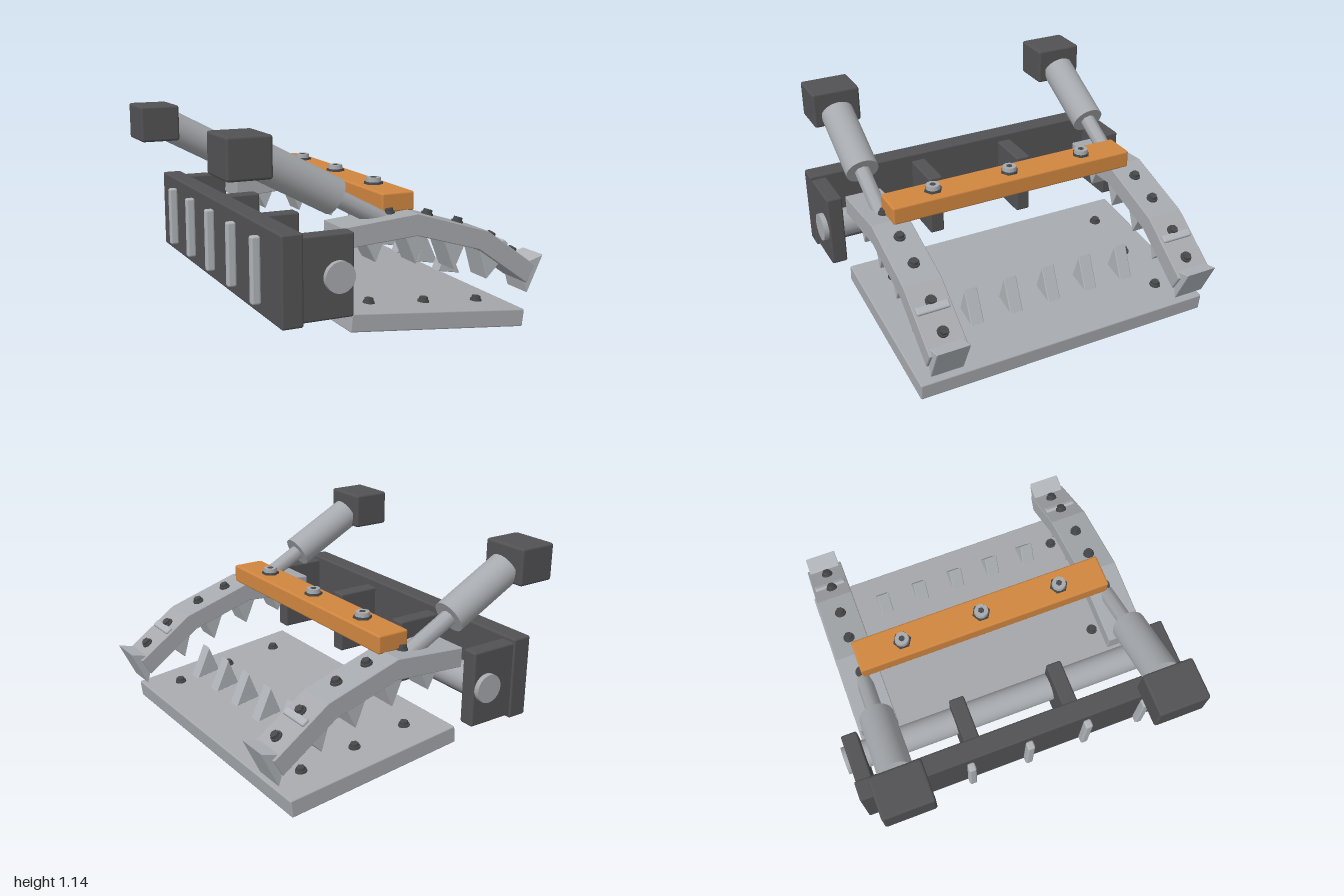
import * as THREE from 'three';
import { RoundedBoxGeometry } from 'three/addons/geometries/RoundedBoxGeometry.js';

const mat = (name, color, flatShading = false) => {
  const m = new THREE.MeshStandardMaterial({ color, flatShading });
  m.name = name;
  return m;
};

export function createModel() {
  const steel = mat('steel', 0xa6a9ad);
  const toothSteel = mat('tooth steel', 0xb0b4b8);
  const dark = mat('dark frame', 0x525254);
  const boltDark = mat('dark bolt', 0x46484a);
  const orange = mat('orange paint', 0xd08640);

  const model = new THREE.Group();
  const add = (name, geo, material, x = 0, y = 0, z = 0, rotZ = 0, parent = model) => {
    const mesh = new THREE.Mesh(geo, material);
    mesh.name = name;
    mesh.position.set(x, y, z);
    mesh.rotation.z = rotZ;
    parent.add(mesh);
    return mesh;
  };

  // Rounded box given by its limits on each axis
  const block = (name, material, [x0, x1], [y0, y1], [z0, z1], r = 0.012) =>
    add(name, new RoundedBoxGeometry(x1 - x0, y1 - y0, z1 - z0, 2, r), material,
      (x0 + x1) / 2, (y0 + y1) / 2, (z0 + z1) / 2);

  // Side outline in x and y, extruded evenly about z
  const prism = (name, points, width, material, z, bevel = 0.004) => {
    const shape = new THREE.Shape(points.map(p => new THREE.Vector2(...p)));
    const geo = new THREE.ExtrudeGeometry(shape, {
      depth: width - 2 * bevel, bevelEnabled: true, bevelSize: bevel,
      bevelOffset: -bevel, bevelThickness: bevel, bevelSegments: 1,
    });
    geo.translate(0, 0, -width / 2 + bevel);
    return add(name, geo, material, 0, 0, z);
  };

  // Cylinder between two points in the plane of a given z
  const rod = (name, a, b, r, sides, material, z) => {
    const dx = b[0] - a[0], dy = b[1] - a[1];
    return add(name, new THREE.CylinderGeometry(r, r, Math.hypot(dx, dy), sides), material,
      (a[0] + b[0]) / 2, (a[1] + b[1]) / 2, z, Math.atan2(dy, dx) - Math.PI / 2);
  };

  // Hex bolt head with a thin collar
  const collarGeo = new THREE.CylinderGeometry(0.031, 0.033, 0.014, 12);
  const headGeo = new THREE.CylinderGeometry(0.023, 0.027, 0.026, 6);
  const bolt = (name, x, y, z, rotZ, parent = model) => {
    const g = new THREE.Group();
    g.name = name;
    g.position.set(x, y, z);
    g.rotation.z = rotZ;
    add('boltCollar', collarGeo, boltDark, 0, 0.004, 0, 0, g);
    add('boltHead', headGeo, boltDark, 0, 0.015, 0, 0, g);
    parent.add(g);
  };

  // Tilted bottom plate with its bolts
  const plate = new THREE.Group();
  plate.name = 'bottomPlate';
  plate.position.set(0.248, 0.11, 0);
  plate.rotation.z = -0.11;
  model.add(plate);
  add('plateSlab', new RoundedBoxGeometry(1.06, 0.098, 1.76, 2, 0.008), steel, 0, 0, 0, 0, plate);
  for (const z of [-0.685, 0.685])
    for (const x of [-0.335, 0, 0.34]) bolt('plateBolt', x, 0.049, z, 0, plate);

  // Lower row of teeth
  for (let i = -2; i <= 2; i++)
    prism('lowerTooth', [[0.455, 0.26], [0.598, 0.234], [0.515, 0.414]], 0.075, toothSteel, i * 0.235);

  // Rear frame, hinge pipe and lugs
  block('rearBeam', dark, [-0.695, -0.58], [0.218, 0.683], [-0.98, 0.98]);
  for (const z of [-0.925, 0.925])
    block('endLug', dark, [-0.6, -0.308], [0.235, 0.662], [z - 0.046, z + 0.046]);
  for (const z of [-0.295, 0.295])
    block('middleLug', dark, [-0.6, -0.32], [0.262, 0.638], [z - 0.045, z + 0.045]);
  add('hingePipe', new THREE.CylinderGeometry(0.08, 0.08, 2, 40), steel, -0.395, 0.45, 0)
    .rotation.x = Math.PI / 2;
  for (let i = -2; i <= 2; i++)
    block('rearSlat', toothSteel, [-0.744, -0.694], [0.275, 0.625], [i * 0.348 - 0.022, i * 0.348 + 0.022]);

  // Outline of the bent jaw arm
  const jawOutline = [
    [-0.32, 0.545], [0.11, 0.573], [0.49, 0.46], [0.803, 0.24],
    [0.857, 0.335], [0.54, 0.557], [0.11, 0.69], [-0.32, 0.655],
  ];
  const upperTeeth = [
    [[-0.18, 0.57], [-0.06, 0.58], [-0.117, 0.453]],
    [[0.045, 0.59], [0.188, 0.575], [0.12, 0.418]],
    [[0.275, 0.55], [0.42, 0.50], [0.352, 0.36]],
    [[0.505, 0.47], [0.645, 0.37], [0.56, 0.285]],
  ];
  const jawBolts = [[0, 0.681, 0.08], [0.228, 0.654, -0.3], [0.415, 0.596, -0.3],
    [0.628, 0.495, -0.61], [0.77, 0.396, -0.61]];

  for (const side of [-1, 1]) {
    const z = side * 0.75;
    // Jaw arm, teeth and bolts
    prism('jawArm', jawOutline, 0.215, steel, z);
    for (const points of upperTeeth) prism('upperTooth', points, 0.16, toothSteel, z);
    prism('tipTooth', [[0.77, 0.345], [0.82, 0.18], [0.917, 0.384]], 0.185, toothSteel, z);
    for (const [x, y, a] of jawBolts) bolt('jawBolt', x, y, side * 0.745, a);
    add('jawRib', new RoundedBoxGeometry(0.045, 0.03, 0.185, 2, 0.01), toothSteel, 0.66, 0.474, z, -0.61);

    // Piston with its mount
    const pz = side * 0.745;
    block('pistonMount', dark, [-0.922, -0.69], [0.93, 1.142], [pz - 0.142, pz + 0.142], 0.015);
    rod('pistonCylinder', [-0.7, 1.0], [-0.3125, 0.795], 0.096, 32, steel, pz);
    rod('pistonRod', [-0.36, 0.82], [-0.02, 0.64], 0.046, 8, steel, pz);
  }

  // Orange cross bar with socket bolts
  block('crossBar', orange, [-0.038, 0.152], [0.682, 0.786], [-0.745, 0.745]);
  for (const z of [-0.472, 0, 0.472]) {
    add('crossBarWasher', new THREE.CylinderGeometry(0.05, 0.053, 0.014, 6), boltDark, 0.056, 0.792, z);
    add('crossBarBolt', new THREE.CylinderGeometry(0.039, 0.042, 0.026, 12), steel, 0.056, 0.809, z);
    add('crossBarSocket', new THREE.CylinderGeometry(0.018, 0.018, 0.004, 6), boltDark, 0.056, 0.822, z);
  }

  return model;
}
